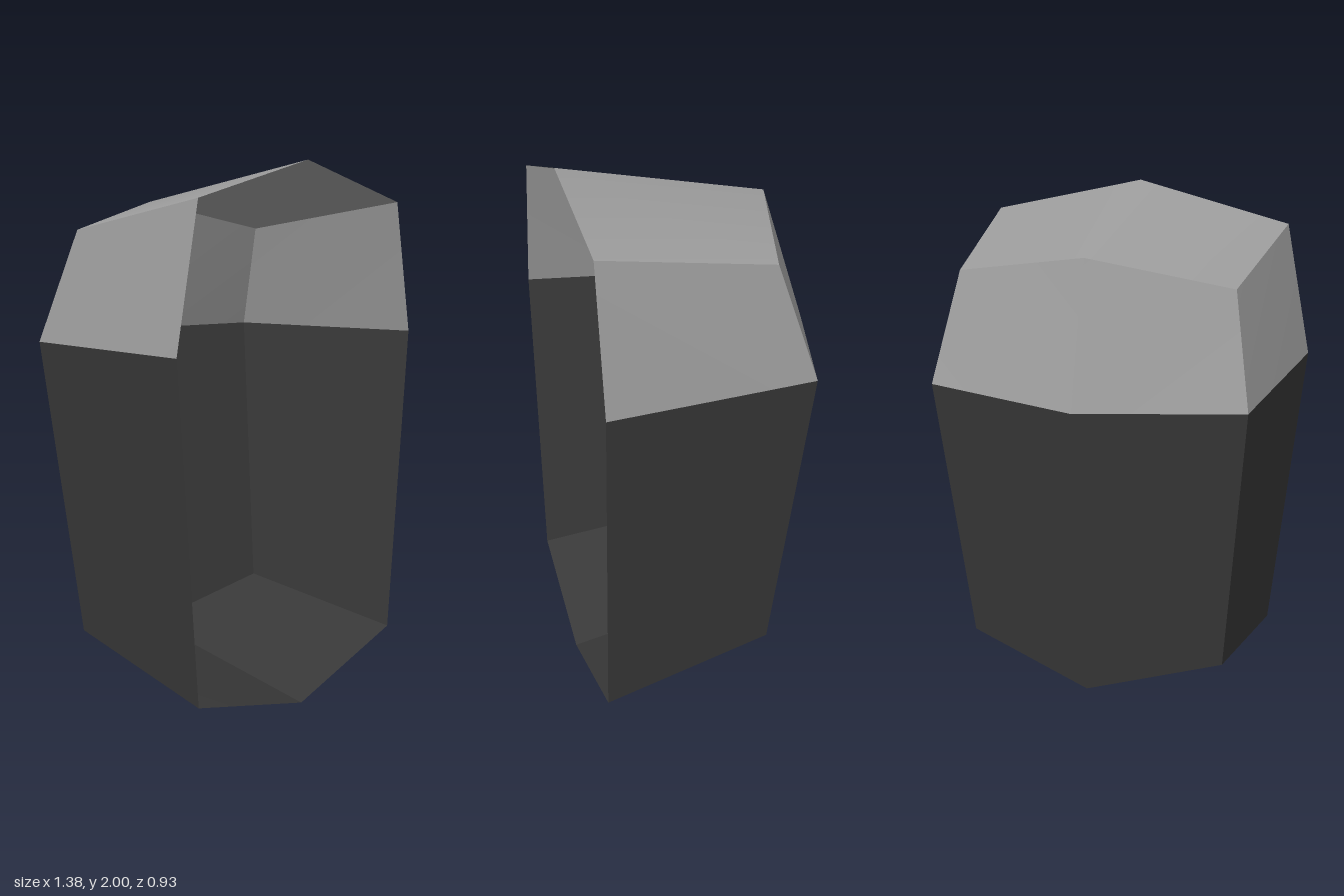
import * as THREE from 'three';
import { toCreasedNormals } from 'three/addons/utils/BufferGeometryUtils.js';

const FRONT = 0.465; // depth of the open front rim
const SEAM = 1.355;  // height where the two colours meet

// One end of the shell: cap, side and back panels between the seam and the end.
// dir is +1 for the upper end, -1 for the lower end.
function shellEnd(dir, rimCentre, rimCorner, backCentre, backCorner) {
  const positions = [];
  for (const s of [1, -1]) {
    const p = (x, y, z) => [s * x, y, z];
    const a = p(0, rimCentre, FRONT);
    const b = p(0.585, rimCorner, FRONT);
    const c = p(0.508, backCorner, -0.175);
    const d = p(0, backCentre, -0.3);
    const m = p(0.69, SEAM, FRONT);
    const n = p(0.587, SEAM, -0.3);
    const o = p(0, SEAM, -0.465);
    const panels = [
      [a, b, c, d], // cap
      [b, m, n, c], // side
      [c, n, o, d], // back
    ];
    for (const [q0, q1, q2, q3] of panels) {
      const tris = s * dir > 0 ? [q0, q1, q2, q0, q2, q3] : [q0, q2, q1, q0, q3, q2];
      positions.push(...tris.flat());
    }
  }
  const geometry = new THREE.BufferGeometry();
  geometry.setAttribute('position', new THREE.Float32BufferAttribute(positions, 3));
  return toCreasedNormals(geometry, 0.5);
}

export function createModel() {
  const lightGrey = new THREE.MeshStandardMaterial({ color: 0x9c9c9c, side: THREE.DoubleSide });
  lightGrey.name = 'light grey';
  const darkGrey = new THREE.MeshStandardMaterial({ color: 0x383838, side: THREE.DoubleSide });
  darkGrey.name = 'dark grey';

  const group = new THREE.Group();
  group.name = 'openShell';

  // Upper shell
  const upper = new THREE.Mesh(shellEnd(1, 2, 1.86, 1.862, 1.757), lightGrey);
  upper.name = 'upperShell';

  // Lower shell
  const lower = new THREE.Mesh(shellEnd(-1, 0, 0.155, 0.153, 0.272), darkGrey);
  lower.name = 'lowerShell';

  group.add(upper, lower);
  return group;
}
